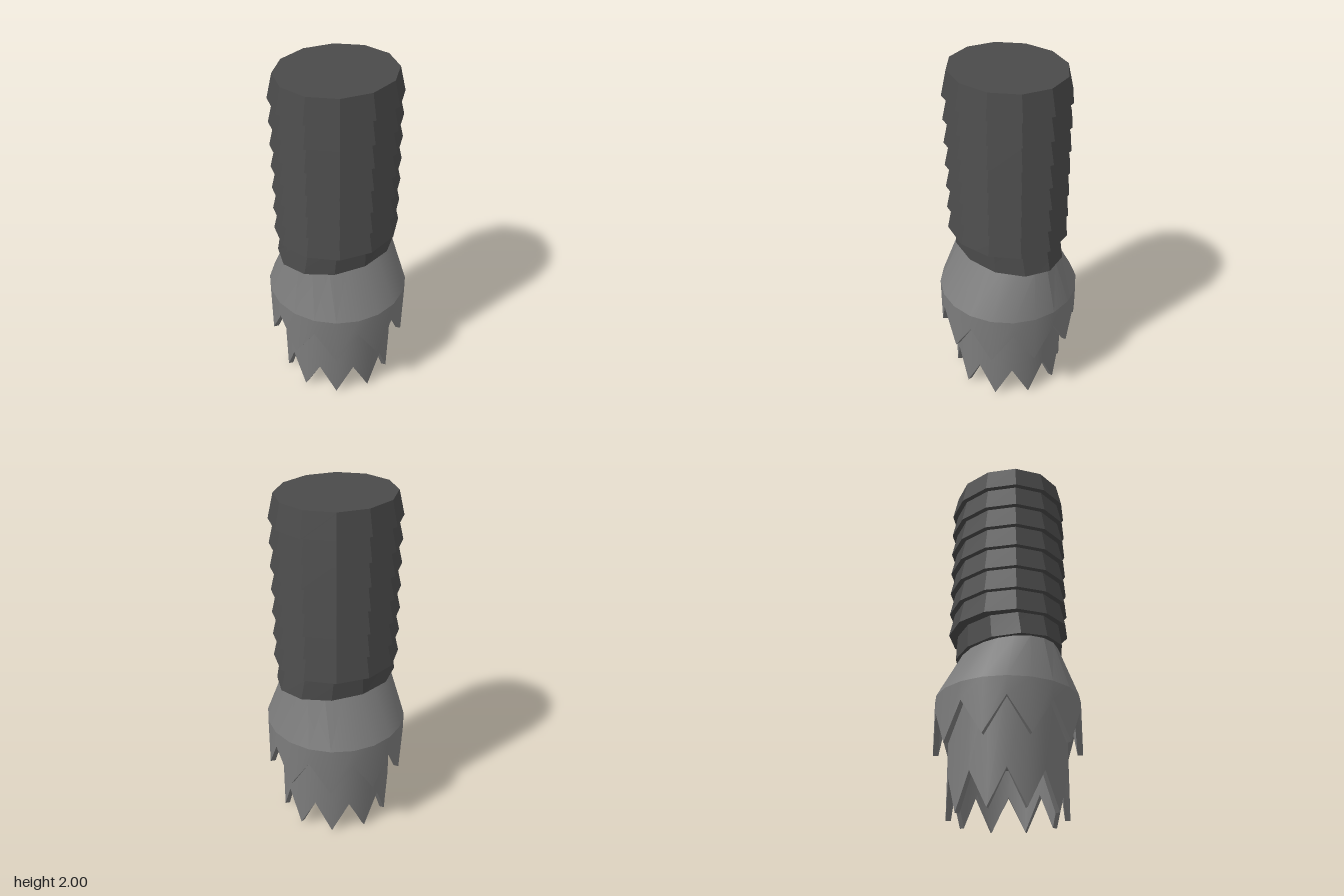
import * as THREE from 'three';
import { toCreasedNormals } from 'three/addons/utils/BufferGeometryUtils.js';

const darkRubber = new THREE.MeshStandardMaterial({ color: 0x4a4a4a });
const greyMetal = new THREE.MeshStandardMaterial({ color: 0x7c7c7c });
darkRubber.name = 'darkRubber';
greyMetal.name = 'greyMetal';

// Tapered elliptical drum between y0 and y1; radii given as [x, z]
function drum(sides, y0, y1, bottom, top, open, crease) {
  const g = new THREE.CylinderGeometry(1, 1, y1 - y0, sides, 1, open);
  g.translate(0, (y0 + y1) / 2, 0);
  const p = g.attributes.position;
  for (let i = 0; i < p.count; i++) {
    const r = p.getY(i) > (y0 + y1) / 2 ? top : bottom;
    p.setX(i, p.getX(i) * r[0]);
    p.setZ(i, p.getZ(i) * r[1]);
  }
  return toCreasedNormals(g, crease);
}

// Thick tube whose lower rim is cut into ten pointed teeth
function toothedTube(outer, inner, topY, valleyY, tipY) {
  const n = 20, v = [];
  const quad = (a, b, c, d) => v.push(...a, ...b, ...c, ...a, ...c, ...d);
  const at = (i, r, y) => {
    const a = (i / n) * Math.PI * 2;
    return [Math.sin(a) * r, y, Math.cos(a) * r];
  };
  for (let i = 0; i < n; i++) {
    const j = i + 1;
    const yi = i % 2 ? valleyY : tipY, yj = j % 2 ? valleyY : tipY;
    quad(at(i, outer, yi), at(j, outer, yj), at(j, outer, topY), at(i, outer, topY));
    quad(at(j, inner, yj), at(i, inner, yi), at(i, inner, topY), at(j, inner, topY));
    quad(at(i, inner, yi), at(j, inner, yj), at(j, outer, yj), at(i, outer, yi));
  }
  const g = new THREE.BufferGeometry();
  g.setAttribute('position', new THREE.Float32BufferAttribute(v, 3));
  return toCreasedNormals(g, 0.35);
}

export function createModel() {
  const model = new THREE.Group();
  model.name = 'ribbedToothedTube';
  const add = (name, geometry, material, parent = model) => {
    const mesh = new THREE.Mesh(geometry, material);
    mesh.name = name;
    parent.add(mesh);
    return mesh;
  };

  // Stack of flared ribs; the lowest one is narrower front to back
  const ribs = new THREE.Group();
  ribs.name = 'ribbedHose';
  ribs.position.x = -0.005;
  model.add(ribs);
  const base = 0.92, step = 0.135;
  for (let i = 0; i < 8; i++) {
    const y = base + i * step;
    const zBottom = i ? 0.332 : 0.275, zTop = i ? 0.303 : 0.275;
    add('rib' + (i + 1), drum(12, y, y + step, [0.361, zBottom], [0.33, zTop], false, 0.1), darkRubber, ribs);
  }

  // Shoulder widening into the toothed collar
  add('shoulder', drum(20, 0.65, 0.92, [0.404, 0.404], [0.335, 0.25], true, 0.35), greyMetal);
  add('toothedCollar', toothedTube(0.404, 0.374, 0.65, 0.547, 0.35), greyMetal);
  add('toothedMouth', toothedTube(0.324, 0.296, 0.65, 0.197, 0), greyMetal);

  // Downward-facing closures inside the mouth and the collar gap
  const ceiling = add('mouthCeiling', new THREE.CircleGeometry(0.3, 20), greyMetal);
  ceiling.rotation.x = Math.PI / 2;
  ceiling.position.y = 0.35;
  const gap = add('collarCeiling', new THREE.RingGeometry(0.31, 0.39, 20), greyMetal);
  gap.rotation.x = Math.PI / 2;
  gap.position.y = 0.64;

  return model;
}
